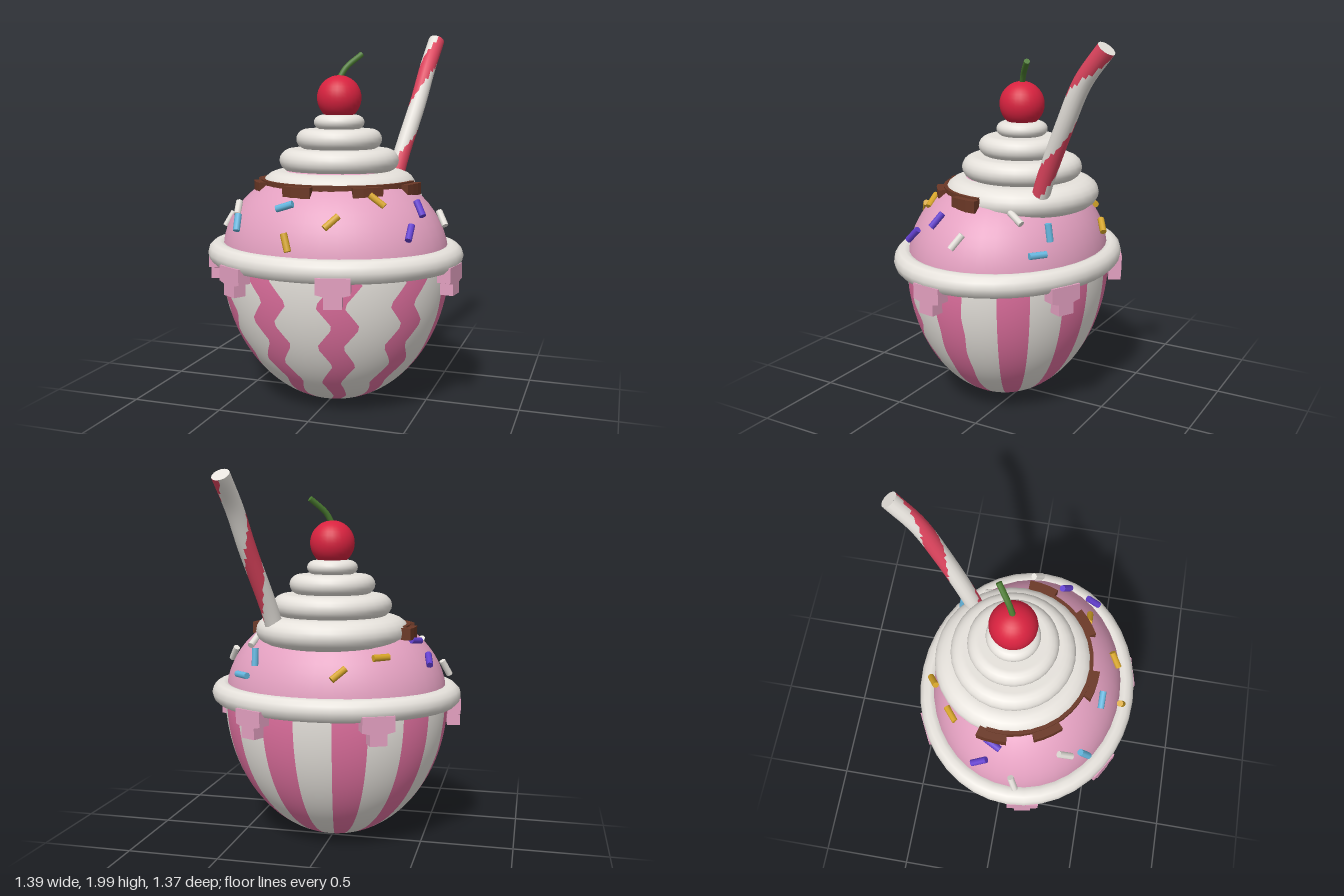
import * as THREE from 'three';

const mat = (name, color) => Object.assign(new THREE.MeshStandardMaterial({ color }), { name });
const rad = THREE.MathUtils.degToRad;

export function createModel() {
  const white = mat('cream white', 0xe6e2dc);
  const stripe = mat('stripe pink', 0xe0709f);
  const pink = mat('ice cream pink', 0xe3a0c0);
  const brown = mat('chocolate brown', 0x6b3826);
  const red = mat('cherry red', 0xd8223f);
  const strawRed = mat('straw red', 0xe0455f);
  const green = mat('stem green', 0x4a7a30);
  const gold = mat('sprinkle gold', 0xd6a528);
  const blue = mat('sprinkle blue', 0x66b8e0);
  const purple = mat('sprinkle purple', 0x6440d0);

  const model = new THREE.Group();
  const add = (name, geo, material, parent = model) => {
    const mesh = new THREE.Mesh(geo, material);
    mesh.name = name;
    parent.add(mesh);
    return mesh;
  };
  const CZ = 0.08; // bowl, rim and scoop sit slightly forward

  // Bowl: half ellipsoid cut into ten stripes, zigzag at the front, straight at the back
  const [A, B, C] = [0.622, 0.77, 0.535];
  const edge = (i, y) => {
    const k = i >> 1, c = rad(18 + 36 * k), front = THREE.MathUtils.smoothstep(Math.cos(c), -0.15, 0.5);
    const t = (((y - 0.63) / 0.22) % 1 + 1) % 1;
    const zig = 4 * Math.abs(t - 0.5) - 1;
    const half = rad(8.6 - 1.8 * front);
    return c + (i % 2 ? half : -half) + 0.075 * front * zig * (k === 9 ? 1 : -1);
  };
  const bowl = new THREE.Group();
  bowl.name = 'bowl';
  model.add(bowl);
  const ROWS = 40, COLS = 4;
  for (let i = 0; i < 20; i++) {
    const pos = [], nor = [], idx = [];
    for (let r = 0; r <= ROWS; r++) {
      const phi = (r / ROWS) * Math.PI / 2, y = B - B * Math.cos(phi), s = Math.sin(phi);
      const a0 = edge(i, y), a1 = i < 19 ? edge(i + 1, y) : edge(0, y) + 2 * Math.PI;
      for (let c = 0; c <= COLS; c++) {
        const a = a0 + (a1 - a0) * c / COLS;
        pos.push(A * s * Math.sin(a), y, CZ + C * s * Math.cos(a));
        nor.push(...new THREE.Vector3(s * Math.sin(a) / A, (y - B) / B / B, s * Math.cos(a) / C).normalize());
        if (r < ROWS && c < COLS) {
          const p = r * (COLS + 1) + c, q = p + COLS + 1;
          idx.push(p, p + 1, q + 1, p, q + 1, q);
        }
      }
    }
    const g = new THREE.BufferGeometry();
    g.setAttribute('position', new THREE.Float32BufferAttribute(pos, 3));
    g.setAttribute('normal', new THREE.Float32BufferAttribute(nor, 3));
    g.setIndex(idx);
    add(i % 2 ? 'bowlPlainBand' : 'bowlStripe', g, i % 2 ? white : stripe, bowl);
  }

  // Rolled rim
  const rim = new THREE.TorusGeometry(0.632, 0.063, 12, 40).rotateX(Math.PI / 2).scale(1, 0.97, 0.865);
  add('rim', rim, white).position.set(0, 0.81, CZ);

  // Ice cream scoop
  const scoop = new THREE.SphereGeometry(1, 40, 16, 0, Math.PI * 2, 0, Math.PI / 2).scale(0.615, 0.49, 0.525);
  add('scoop', scoop, pink).position.set(0, 0.8, CZ);

  // Melted drips below the rim
  const dripShape = new THREE.Shape([[-0.085, 0], [-0.085, -0.08], [-0.045, -0.09], [-0.045, -0.15],
    [0.045, -0.15], [0.045, -0.09], [0.085, -0.08], [0.085, 0]].reverse().map(p => new THREE.Vector2(...p)));
  const dripGeo = new THREE.ExtrudeGeometry(dripShape, { depth: 0.07, bevelEnabled: false });
  for (const deg of [-35, 16, 82, 150, 210, 278]) {
    const a = rad(deg), d = add('rimDrip', dripGeo, pink);
    d.position.set(0.62 * Math.sin(a), 0.79, CZ + 0.535 * Math.cos(a));
    d.rotation.y = Math.atan2(Math.sin(a) / 0.62, Math.cos(a) / 0.535);
  }

  // Whipped cream: stacked round-edged layers (radius, edge radius, bottom, top)
  for (const [r, t, y0, y1] of [[0.415, 0.1, 1.085, 1.243], [0.323, 0.07, 1.235, 1.36],
    [0.232, 0.06, 1.355, 1.465], [0.137, 0.05, 1.46, 1.54]]) {
    const pts = [new THREE.Vector2(0, y0)];
    for (let i = 0; i <= 10; i++) {
      const a = -Math.PI / 2 + i * Math.PI / 10;
      pts.push(new THREE.Vector2(r - t + t * Math.cos(a), (y0 + y1) / 2 + (y1 - y0) / 2 * Math.sin(a)));
    }
    pts.push(new THREE.Vector2(0, y1));
    add('whippedCream', new THREE.LatheGeometry(pts, 32), white);
  }

  // Chocolate sauce: a front band with chunky drips
  const sector = (r0, r1, d0, d1, y0, y1) => {
    const pts = [], n = Math.max(2, Math.round((d1 - d0) / 8));
    const pt = (r, d) => pts.push(new THREE.Vector2(r * Math.sin(rad(d)), -r * Math.cos(rad(d))));
    for (let i = 0; i <= n; i++) pt(r1, d0 + (d1 - d0) * i / n);
    for (let i = n; i >= 0; i--) pt(r0, d0 + (d1 - d0) * i / n);
    const g = new THREE.ExtrudeGeometry(new THREE.Shape(pts), { depth: y1 - y0, bevelEnabled: false });
    return g.rotateX(-Math.PI / 2).translate(0, y0, 0);
  };
  add('chocolateBand', sector(0.35, 0.422, -100, 87, 1.152, 1.2), brown);
  for (const d of [-95, -57, -10, 37, 78])
    add('chocolateDrip', sector(0.35, 0.46, d - 10, d + 10, 1.13, 1.192), brown);

  // Cherry and stem
  add('cherry', new THREE.SphereGeometry(0.12, 28, 18), red).position.y = 1.63;
  const V = (x, y, z) => new THREE.Vector3(x, y, z);
  const stemCurve = new THREE.CatmullRomCurve3([V(0, 1.73, 0), V(0.03, 1.79, -0.025), V(0.1, 1.862, -0.085)]);
  add('stem', new THREE.TubeGeometry(stemCurve, 8, 0.016, 8), green);
  const capTube = (name, curve, radius, sides, material) => {
    const end = add(name, new THREE.CircleGeometry(radius, sides), material);
    end.position.copy(curve.getPointAt(1));
    end.lookAt(end.position.clone().add(curve.getTangentAt(1)));
  };
  capTube('stemTip', stemCurve, 0.016, 8, green);

  // Bent straw with a spiral stripe
  const strawCurve = new THREE.CatmullRomCurve3([V(0.24, 1.12, -0.22), V(0.27, 1.3, -0.285),
    V(0.332, 1.6, -0.425), V(0.363, 1.8, -0.525), V(0.385, 1.957, -0.65)]);
  const SEG = 36, SIDES = 16;
  const strawGeo = new THREE.TubeGeometry(strawCurve, SEG, 0.046, SIDES);
  const p = strawGeo.attributes.position, src = strawGeo.index.array, parts = [[], []];
  for (let f = 0; f < src.length; f += 3) {
    const tri = [src[f], src[f + 1], src[f + 2]];
    const mid = tri.reduce((m, v) => m.add(V(p.getX(v), p.getY(v), p.getZ(v))), V(0, 0, 0)).divideScalar(3);
    const t = (Math.floor(f / (6 * SIDES)) + 0.5) / SEG;
    const c = strawCurve.getPointAt(t);
    const turn = (Math.atan2(mid.x - c.x, mid.z - c.z) - rad(45 + 500 * (t - 0.14))) / (2 * Math.PI);
    parts[Math.abs(turn - Math.round(turn)) < 0.2 ? 1 : 0].push(...tri);
  }
  strawGeo.setIndex([...parts[0], ...parts[1]]);
  strawGeo.clearGroups();
  strawGeo.addGroup(0, parts[0].length, 0);
  strawGeo.addGroup(parts[0].length, parts[1].length, 1);
  add('straw', strawGeo, [white, strawRed]);
  capTube('strawEnd', strawCurve, 0.046, SIDES, white);

  // Sprinkles: colour, position, direction
  const sprinkleGeo = new THREE.CylinderGeometry(0.018, 0.018, 0.092, 8);
  const sprinkles = [
    [gold, [-0.07, 0.94, 0.61], [0.03, -0.09, 0.02]], [gold, [0.14, 1.04, 0.54], [0.06, 0.06, -0.05]],
    [gold, [-0.32, 1.06, -0.28], [0.07, 0, -0.06]], [gold, [-0.13, 0.99, -0.42], [0.07, -0.06, -0.05]],
    [gold, [0.32, 1.13, 0.365], [0.07, -0.05, 0]],
    [blue, [-0.12, 1.1, 0.495], [0.09, 0.03, 0]], [blue, [-0.4, 1, 0.45], [0.01, -0.08, 0.05]],
    [blue, [0.41, 0.95, -0.32], [0.08, 0, 0.06]], [blue, [0.33, 1.05, -0.34], [0, 0.07, 0.01]],
    [white, [-0.44, 1.06, 0.35], [0.02, -0.07, 0.08]], [white, [-0.61, 0.96, 0.1], [0.04, 0.08, -0.03]],
    [white, [0.58, 1.01, 0.045], [0.05, -0.08, 0.05]], [white, [0.385, 1.115, -0.18], [0.02, -0.05, -0.08]],
    [purple, [-0.46, 1.12, -0.03], [0.04, 0.01, -0.08]], [purple, [-0.54, 1.03, -0.09], [0.02, 0.05, 0.08]],
    [purple, [0.49, 0.98, 0.375], [0, 0.07, -0.07]], [purple, [0.5, 1.08, 0.215], [0.05, -0.08, 0.05]],
  ];
  for (const [m, at, dir] of sprinkles) {
    const s = add('sprinkle', sprinkleGeo, m);
    s.position.set(...at);
    s.quaternion.setFromUnitVectors(V(0, 1, 0), V(...dir).normalize());
  }
  return model;
}
